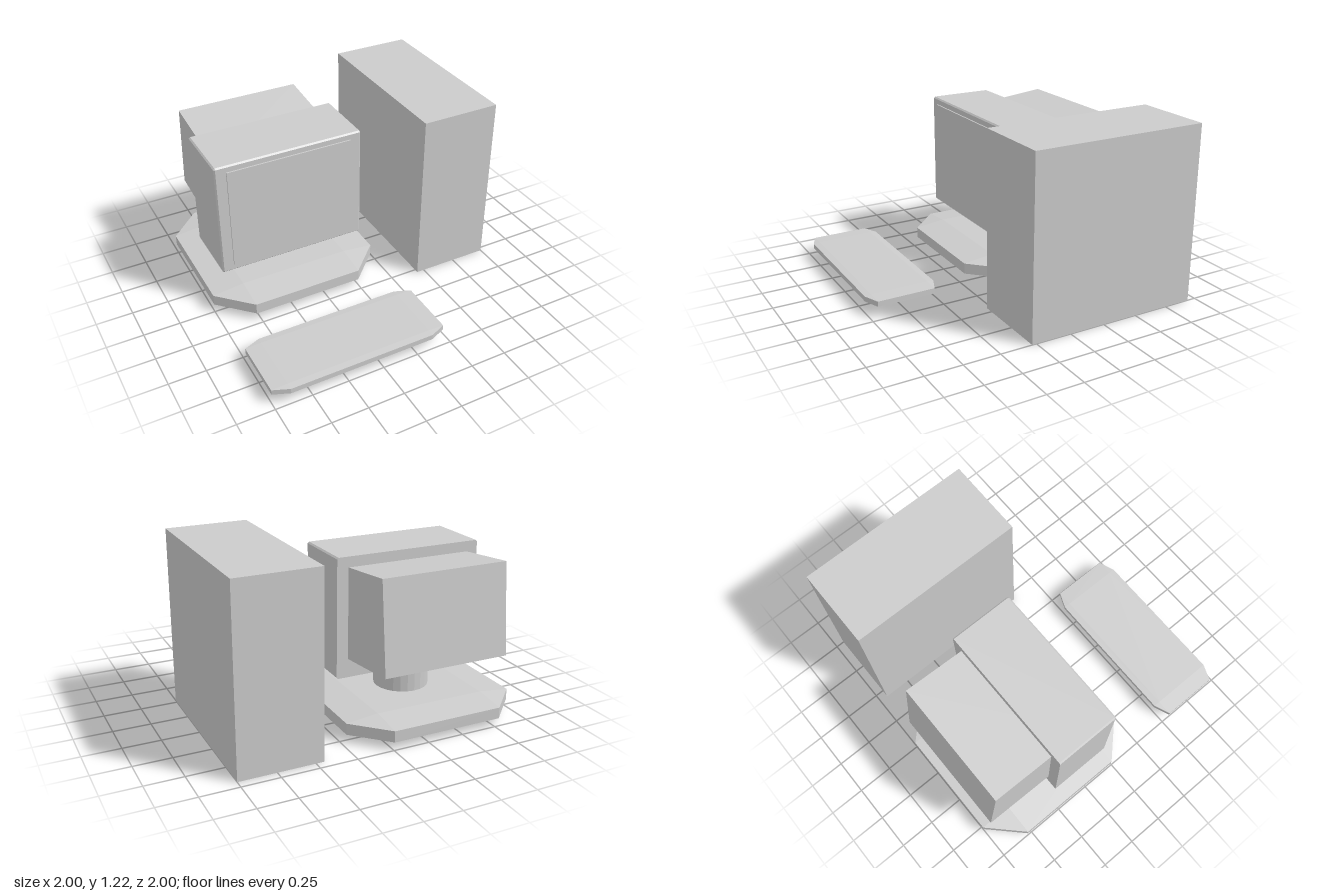
import * as THREE from 'three';

const grey = new THREE.MeshStandardMaterial({ color: 0xcccccc, flatShading: true });

function part(name, geometry, x, y, z) {
  const mesh = new THREE.Mesh(geometry, grey);
  mesh.name = name;
  mesh.position.set(x, y, z);
  return mesh;
}

// Stack of corner-cut rectangles: [height, halfX, halfZ, cutX, cutZ], bottom to top
function loft(rings) {
  const loops = rings.map(([y, w, d, cw, cd]) =>
    [[w, cd - d], [w, d - cd], [w - cw, d], [cw - w, d],
      [-w, d - cd], [-w, cd - d], [cw - w, -d], [w - cw, -d]]
      .map(([u, v]) => new THREE.Vector3(u, y, -v)));
  const positions = [];
  const tri = (a, b, c) => {
    const area = b.clone().sub(a).cross(c.clone().sub(a)).length();
    if (area > 1e-9) for (const p of [a, b, c]) positions.push(p.x, p.y, p.z);
  };
  for (let r = 0; r < loops.length - 1; r++) {
    const lo = loops[r], hi = loops[r + 1];
    for (let i = 0; i < 8; i++) {
      const j = (i + 1) % 8;
      tri(lo[i], lo[j], hi[j]);
      tri(lo[i], hi[j], hi[i]);
    }
  }
  const bottom = loops[0], top = loops[loops.length - 1];
  for (let i = 1; i < 7; i++) {
    tri(bottom[0], bottom[i + 1], bottom[i]);
    tri(top[0], top[i], top[i + 1]);
  }
  const geometry = new THREE.BufferGeometry();
  geometry.setAttribute('position', new THREE.Float32BufferAttribute(positions, 3));
  geometry.computeVertexNormals();
  return geometry;
}

// Octagonal slab whose top and bottom rise gently to a flat rectangle
function slab(w, d, cw, cd, halfRim, halfHeight) {
  const inner = [w - cw, d - cd, 0, 0];
  const rim = [w, d, cw, cd];
  return loft([[-halfHeight, ...inner], [-halfRim, ...rim], [halfRim, ...rim], [halfHeight, ...inner]]);
}

export function createModel() {
  const model = new THREE.Group();
  model.name = 'desktopComputer';

  // Tower case
  model.add(part('tower', new THREE.BoxGeometry(0.555, 1.22, 1.22), 0.7225, 0.61, -0.33));

  // Keyboard
  model.add(part('keyboard', slab(0.61, 0.245, 0.11, 0.045, 0.018, 0.0225), -0.39, 0.0975, 0.75));

  // Monitor
  const monitor = new THREE.Group();
  monitor.name = 'monitor';
  const cx = -0.39;
  monitor.add(part('monitorBase', slab(0.607, 0.605, 0.22, 0.22, 0.038, 0.0625), cx, 0.0925, -0.395));
  monitor.add(part('monitorNeck', new THREE.CylinderGeometry(0.185, 0.185, 0.16, 24), cx, 0.22, -0.395));

  // Housing with narrow chamfers on its long edges and around the front
  const housing = loft([
    [-0.225, 0.52, 0.408, 0.01, 0.01],
    [0.215, 0.52, 0.408, 0.01, 0.01],
    [0.225, 0.51, 0.398, 0.005, 0.005],
  ]);
  housing.rotateX(Math.PI / 2);
  monitor.add(part('monitorHousing', housing, cx, 0.697, -0.24));

  // Slightly raised screen
  monitor.add(part('screen', new THREE.BoxGeometry(0.88, 0.725, 0.05), cx, 0.697, -0.03));

  // Tilted rear housing
  const rear = part('rearHousing', new THREE.BoxGeometry(0.88, 0.613, 0.7), cx, 0.738, -0.58);
  rear.rotation.x = 0.104;
  monitor.add(rear);

  model.add(monitor);
  return model;
}
